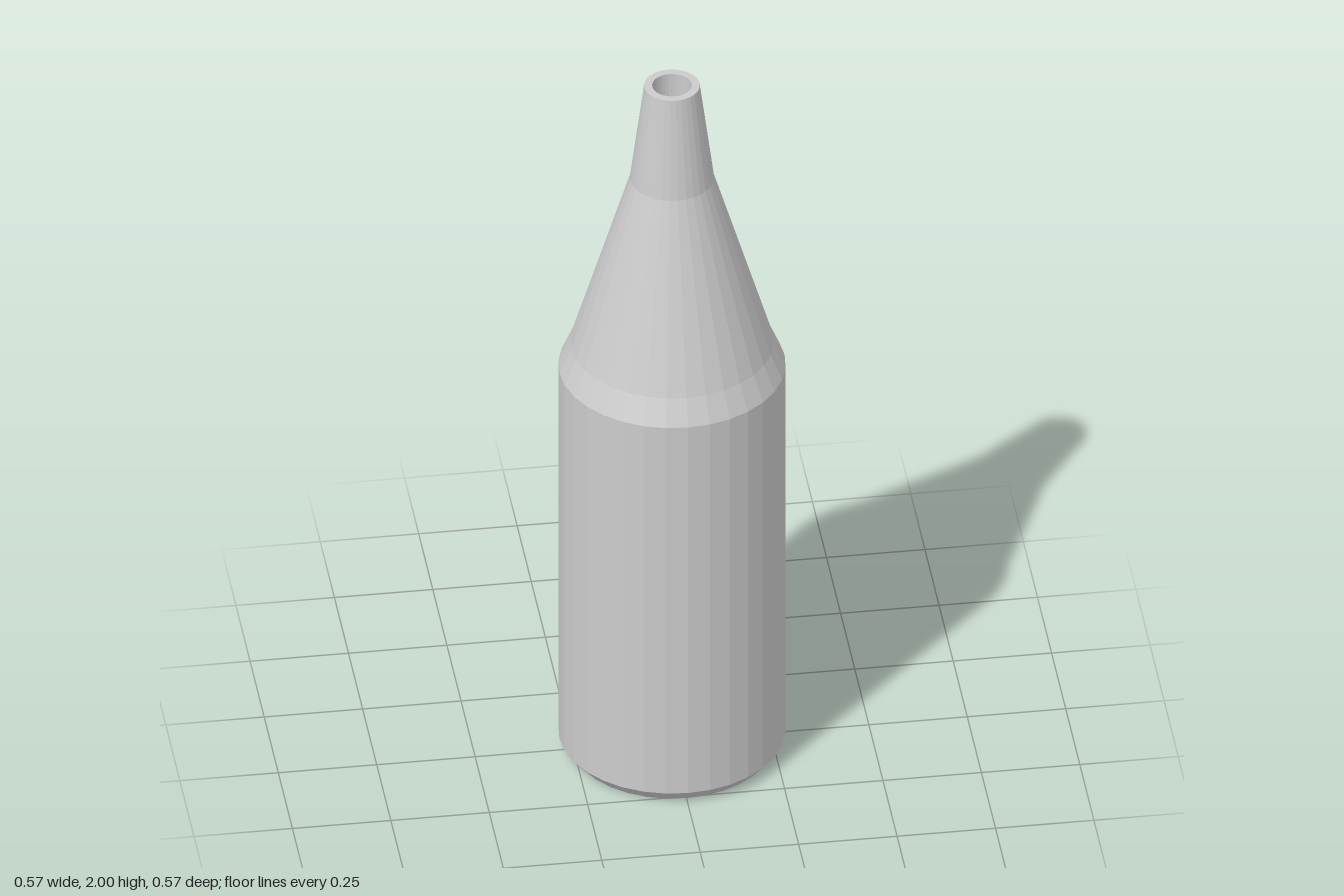
import * as THREE from 'three';

const SIDES = 32;

// Faceted surface of revolution from [radius, height] pairs
function turned(name, profile, material) {
  const points = profile.map(([r, y]) => new THREE.Vector2(r, y));
  const mesh = new THREE.Mesh(new THREE.LatheGeometry(points, SIDES), material);
  mesh.name = name;
  return mesh;
}

export function createModel() {
  const group = new THREE.Group();
  group.name = 'bottle';
  const material = new THREE.MeshStandardMaterial({
    color: 0xcccccc, flatShading: true, side: THREE.DoubleSide,
  });

  // Thin shell, open underneath: base chamfer, straight body, bevelled shoulder
  group.add(turned('body', [
    [0.257, 0], [0.286, 0.035], [0.286, 1.15], [0.256, 1.22],
  ], material));

  // Long conical shoulder and the steeper neck
  group.add(turned('neck', [
    [0.256, 1.22], [0.106, 1.72], [0.07, 2],
  ], material));

  // Flat lip around a bore with a closed floor
  group.add(turned('mouth', [
    [0.07, 2], [0.05, 2], [0.05, 1.72], [0, 1.72],
  ], material));

  return group;
}
